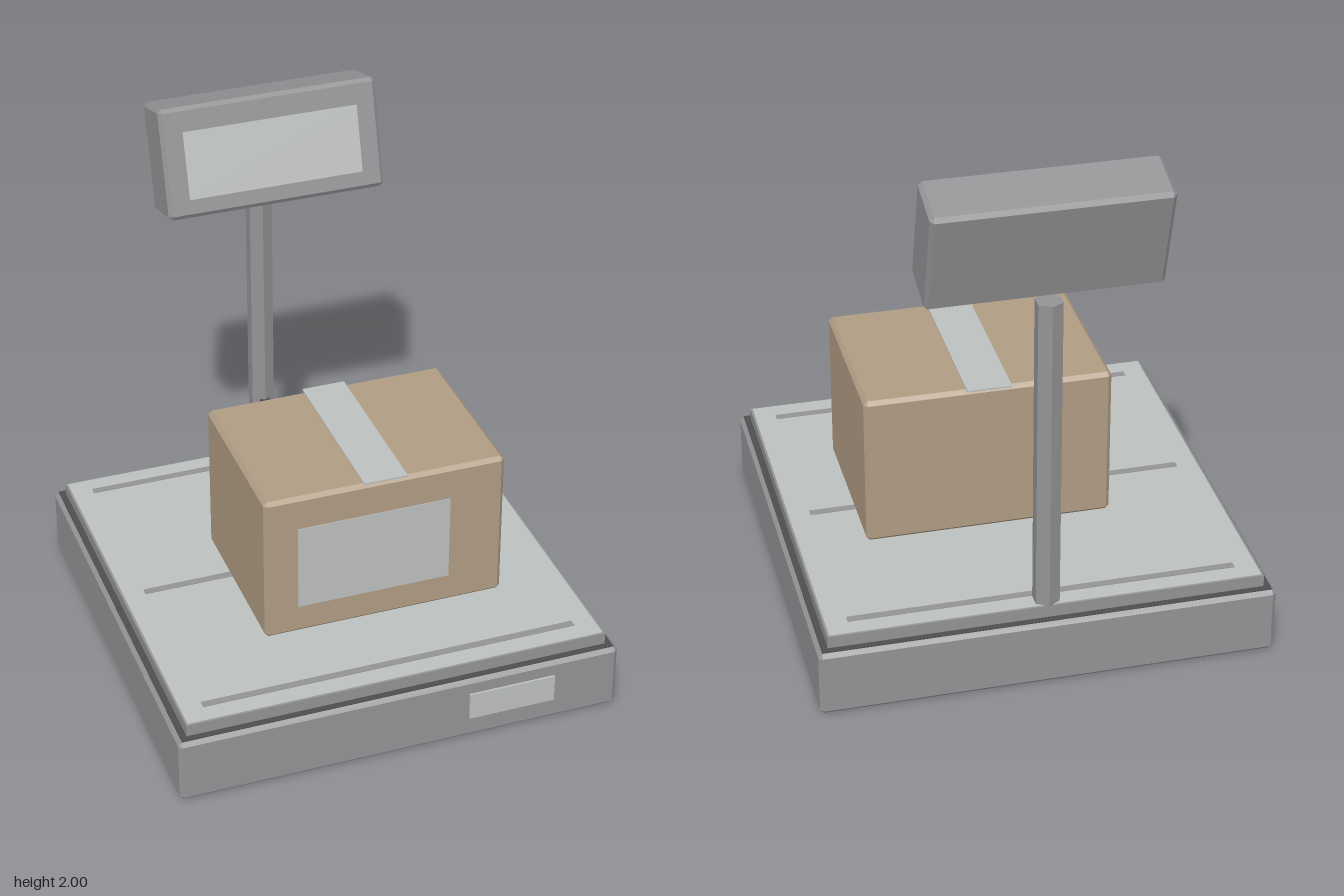
import * as THREE from 'three';
import { ConvexGeometry } from 'three/addons/geometries/ConvexGeometry.js';

const paint = (name, color) => {
  const m = new THREE.MeshStandardMaterial({ color });
  m.name = name;
  return m;
};

// Box with a flat chamfer along every edge
function chamferBox(w, h, d, c) {
  const points = [];
  for (const x of [-1, 1]) for (const y of [-1, 1]) for (const z of [-1, 1]) {
    for (const [a, b, e] of [[0, c, c], [c, 0, c], [c, c, 0]]) {
      points.push(new THREE.Vector3(x * (w / 2 - a), y * (h / 2 - b), z * (d / 2 - e)));
    }
  }
  return new ConvexGeometry(points);
}

export function createModel() {
  const grey = paint('casing grey', 0x949496);
  const light = paint('light grey', 0xbcc0be);
  const dark = paint('dark grey', 0x4e4e50);
  const cardboard = paint('cardboard', 0xb09c84);

  const model = new THREE.Group();
  const add = (name, geometry, material, x, y, z, parent = model) => {
    const mesh = new THREE.Mesh(geometry, material);
    mesh.name = name;
    mesh.position.set(x, y, z);
    parent.add(mesh);
    return mesh;
  };
  const box = (w, h, d) => new THREE.BoxGeometry(w, h, d);
  const midZ = -0.005;

  // Base with a dark seam under the weighing platform
  add('base', chamferBox(1.72, 0.26, 1.72, 0.015), grey, 0, 0.13, midZ);
  add('seam', box(1.69, 0.004, 1.69), dark, 0, 0.261, midZ);
  add('basePlate', box(0.34, 0.11, 0.009), light, 0.43, 0.145, 0.86);

  // Platform, its top sheet and three grooves
  add('platform', box(1.64, 0.05, 1.64), grey, 0, 0.285, midZ);
  add('platformTop', box(1.625, 0.004, 1.625), light, 0, 0.31, midZ);
  for (const z of [-0.735, -0.01, 0.72]) {
    add('groove', box(1.46, 0.004, 0.03), grey, 0, 0.312, z);
  }

  // Parcel with tape and label
  add('parcel', chamferBox(0.945, 0.605, 0.685, 0.015), cardboard, 0.085, 0.6135, 0.0825);
  add('tape', box(0.17, 0.007, 0.69), light, 0.085, 0.917, 0.0775);
  add('parcelLabel', box(0.6, 0.35, 0.006), light, 0.04, 0.605, 0.425);

  // Six-sided post with a dark strip at its foot
  const post = new THREE.CylinderGeometry(0.052, 0.052, 1.24, 6).toNonIndexed();
  post.computeVertexNormals();
  add('post', post, grey, 0, 0.93, -0.777);
  add('postStrip', box(0.04, 0.29, 0.025), dark, 0, 0.455, -0.7375);

  // Tilted display head
  const head = new THREE.Group();
  head.name = 'displayHead';
  head.position.set(0, 1.77, -0.692);
  head.rotation.x = -0.28;
  model.add(head);
  add('displayCase', chamferBox(0.86, 0.425, 0.215, 0.015), grey, 0, 0, 0, head);
  add('displayScreen', box(0.69, 0.26, 0.006), light, 0, -0.012, 0.107, head);

  return model;
}
